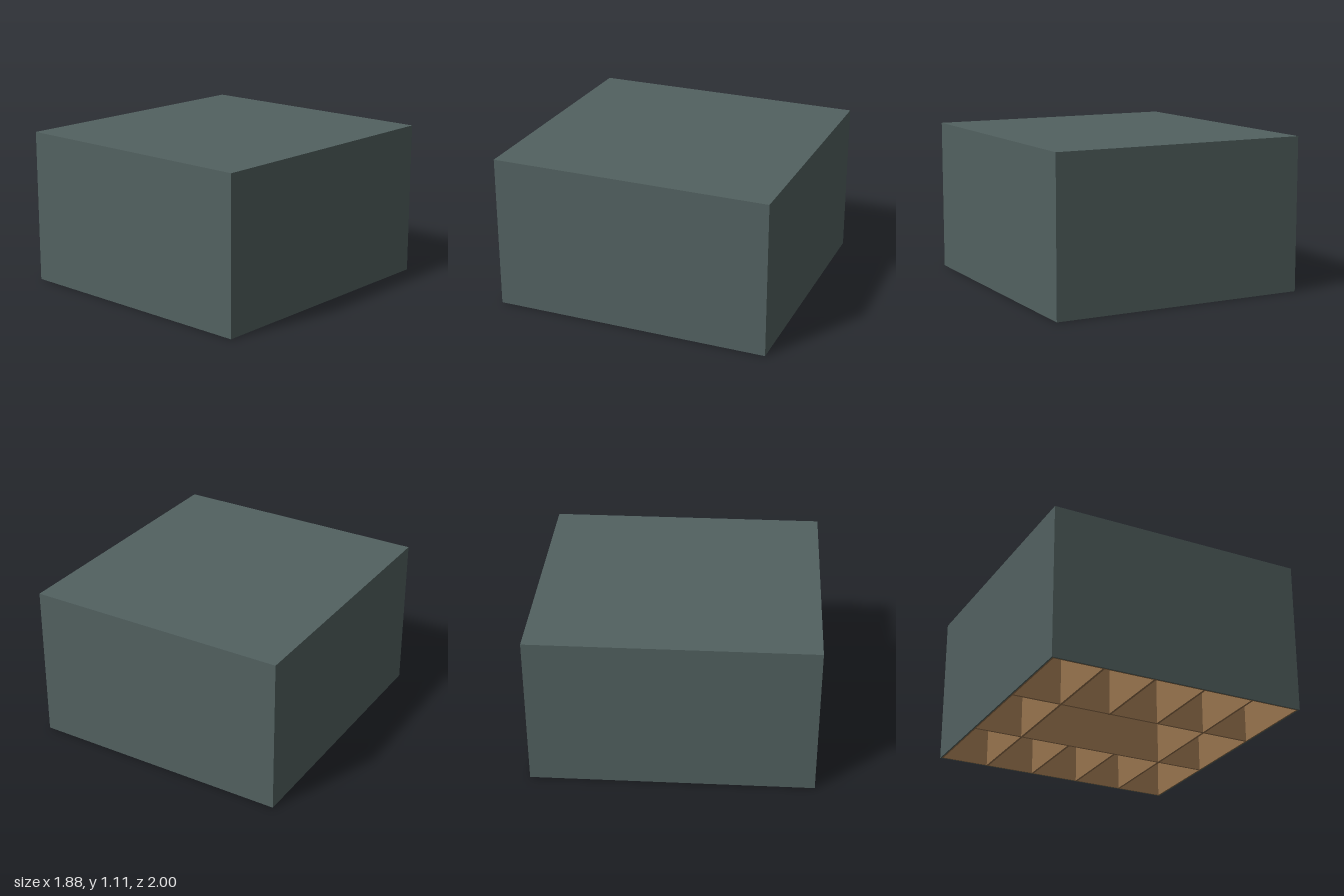
import * as THREE from 'three';

export function createModel() {
  const model = new THREE.Group();
  const shellMat = new THREE.MeshStandardMaterial({ color: 0x526160 });
  shellMat.name = 'slateGreen';
  const woodMat = new THREE.MeshStandardMaterial({ color: 0x97734e });
  woodMat.name = 'wood';
  const plateMat = new THREE.MeshStandardMaterial({ color: 0xb4b4b4 });
  plateMat.name = 'paleGrey';

  const W = 1.88, D = 2, H = 1.11, t = 0.01;
  const cols = 5, rows = 3, board = 0.016;
  const cellX = W / cols, cellZ = D / rows;

  function box(name, mat, w, h, d, x, y, z) {
    const mesh = new THREE.Mesh(new THREE.BoxGeometry(w, h, d), mat);
    mesh.name = name;
    mesh.position.set(x, y, z);
    model.add(mesh);
    return mesh;
  }

  // Outer shell, open underneath, with a wooden lining
  box('shellTop', shellMat, W, t, D, 0, H - t / 2, 0);
  box('liningTop', woodMat, W - 2 * t, t, D - 2 * t, 0, H - 1.5 * t, 0);
  const inner = H - 2 * t;
  for (const s of [-1, 1]) {
    box('shellSide', shellMat, t, H - t, D, s * (W / 2 - t / 2), (H - t) / 2, 0);
    box('shellEnd', shellMat, W - 2 * t, H - t, t, 0, (H - t) / 2, s * (D / 2 - t / 2));
    box('liningSide', woodMat, t, inner, D - 2 * t, s * (W / 2 - 1.5 * t), inner / 2, 0);
    box('liningEnd', woodMat, W - 4 * t, inner, t, 0, inner / 2, s * (D / 2 - 1.5 * t));
  }

  // Long dividers across the width
  for (let r = 1; r < rows; r++)
    box('longDivider', woodMat, W - 4 * t, inner, board, 0, inner / 2, -D / 2 + r * cellZ);

  // Short dividers; the two central ones are left out to make a wide bay
  for (let r = 0; r < rows; r++) {
    for (let c = 1; c < cols; c++) {
      if (r === 1 && (c === 2 || c === 3)) continue;
      box('shortDivider', woodMat, board, inner, cellZ - board - (r === 1 ? 0 : t),
        -W / 2 + c * cellX, inner / 2, -D / 2 + (r + 0.5) * cellZ + (1 - r) * t / 2);
    }
  }

  // Rounded grey plates on the wall of the central bay
  const w = 0.085, h = 0.05, k = 0.025;
  const shape = new THREE.Shape();
  shape.moveTo(-w + k, -h);
  shape.lineTo(w - k, -h);
  shape.quadraticCurveTo(w, -h, w, -h + k);
  shape.lineTo(w, h - k);
  shape.quadraticCurveTo(w, h, w - k, h);
  shape.lineTo(-w + k, h);
  shape.quadraticCurveTo(-w, h, -w, h - k);
  shape.lineTo(-w, -h + k);
  shape.quadraticCurveTo(-w, -h, -w + k, -h);
  const plateGeo = new THREE.ExtrudeGeometry(shape, { depth: 0.006, bevelEnabled: false });
  const wallZ = cellZ / 2 - board / 2;
  for (const x of [0.097, -0.276]) {
    const plate = new THREE.Mesh(plateGeo, plateMat);
    plate.name = 'wallPlate';
    plate.position.set(x, 0.3, wallZ - 0.006);
    model.add(plate);
  }

  // Raised wooden joint between the two panels of the bay wall
  box('panelJoint', woodMat, board, inner, 0.008, -cellX / 2, inner / 2, wallZ - 0.004);

  return model;
}
